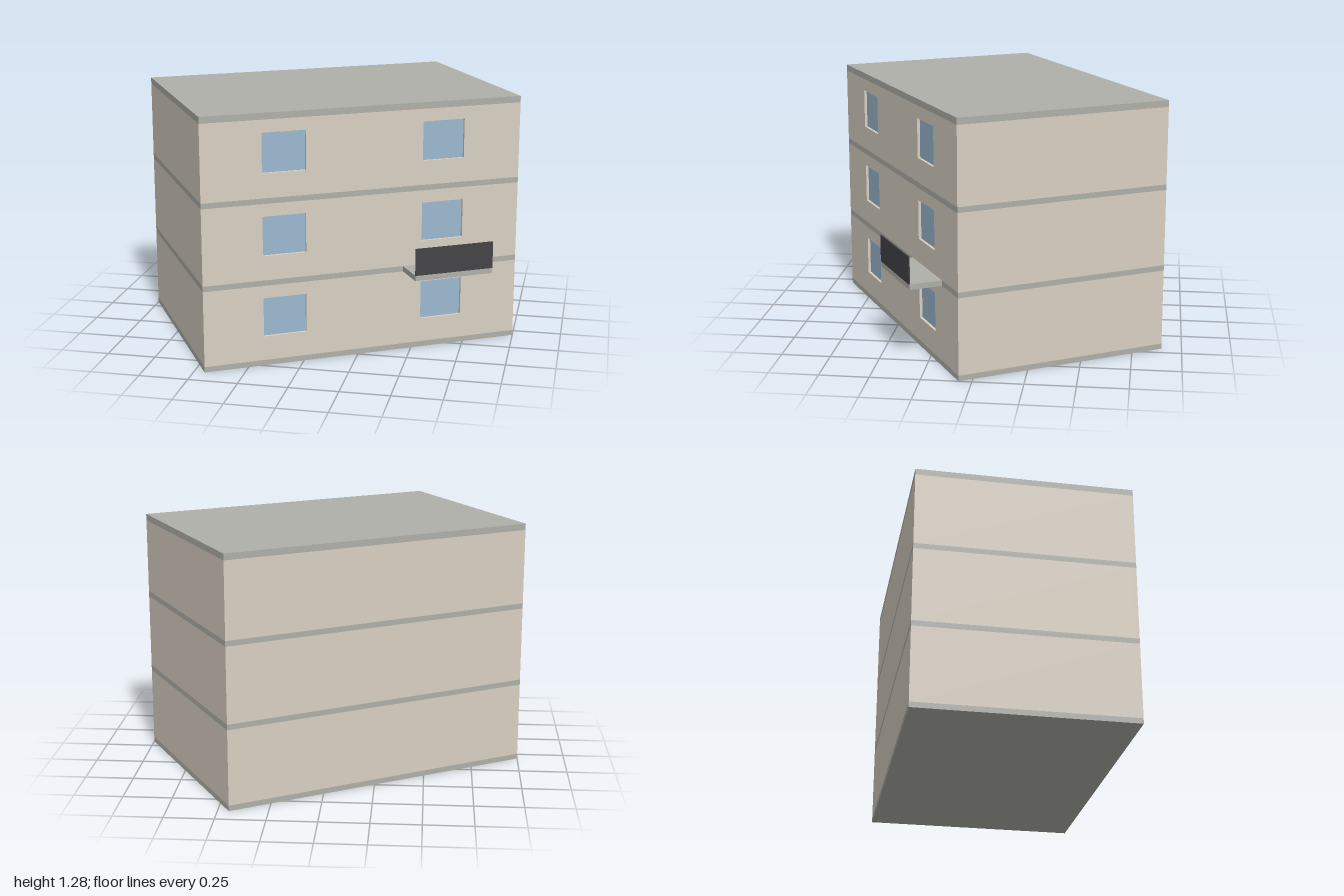
import * as THREE from 'three';

export function createModel() {
  const mat = (name, color) => {
    const m = new THREE.MeshStandardMaterial({ color });
    m.name = name;
    return m;
  };
  const wallMat = mat('beige wall', 0xd9d0c3);
  const slabMat = mat('grey concrete', 0xb0b0aa);
  const glassMat = mat('blue glass', 0x9cb9d0);
  const railMat = mat('dark railing', 0x444448);

  const L = 1.667, W = 1.111;          // footprint
  const storey = 0.417, slabH = 0.028, roofH = 0.033;
  const skin = 0.018, pane = 0.004;    // facade depth and glass thickness
  const winW = 0.222, winH = 0.2, sill = 0.153, winX = [-0.417, 0.417];
  const front = W / 2;

  const building = new THREE.Group();
  building.name = 'building';

  // Box placed by its bottom centre
  const box = (name, w, h, d, x, y, z, material) => {
    const mesh = new THREE.Mesh(new THREE.BoxGeometry(w, h, d), material);
    mesh.name = name;
    mesh.position.set(x, y + h / 2, z);
    building.add(mesh);
  };

  // Front wall of one storey with window openings
  const facade = (y0, y1, winY) => {
    const s = new THREE.Shape([
      new THREE.Vector2(-L / 2, y0), new THREE.Vector2(L / 2, y0),
      new THREE.Vector2(L / 2, y1), new THREE.Vector2(-L / 2, y1),
    ]);
    for (const x of winX) {
      const a = x - winW / 2, b = x + winW / 2;
      s.holes.push(new THREE.Path([
        new THREE.Vector2(a, winY), new THREE.Vector2(a, winY + winH),
        new THREE.Vector2(b, winY + winH), new THREE.Vector2(b, winY),
      ]));
    }
    const mesh = new THREE.Mesh(
      new THREE.ExtrudeGeometry(s, { depth: skin, bevelEnabled: false }), wallMat);
    mesh.name = 'frontWall';
    mesh.position.z = front - skin;
    building.add(mesh);
  };

  // Storeys: floor slab, wall core, facade and recessed windows
  for (let i = 0; i < 3; i++) {
    const y = i * storey;
    box('floorSlab', L, slabH, W, 0, y, 0, slabMat);
    box('wallCore', L, storey - slabH, W - skin, 0, y + slabH, -skin / 2, wallMat);
    facade(y + slabH, y + storey, y + sill);
    for (const x of winX) {
      box('window', winW, winH, pane, x, y + sill, front - skin + pane / 2, glassMat);
    }
  }
  box('roofSlab', L, roofH, W, 0, 3 * storey, 0, slabMat);

  // Balcony with a solid front railing
  const balW = 0.417, balD = 0.167;
  box('balconySlab', balW, slabH, balD, winX[1], storey, front + balD / 2, slabMat);
  box('balconyRailing', balW, 0.139, 0.006, winX[1], storey + slabH, front + balD, railMat);

  // The building stands turned on its plot
  building.rotation.y = Math.PI / 6;
  const model = new THREE.Group();
  model.name = 'apartmentBlock';
  model.add(building);
  return model;
}
